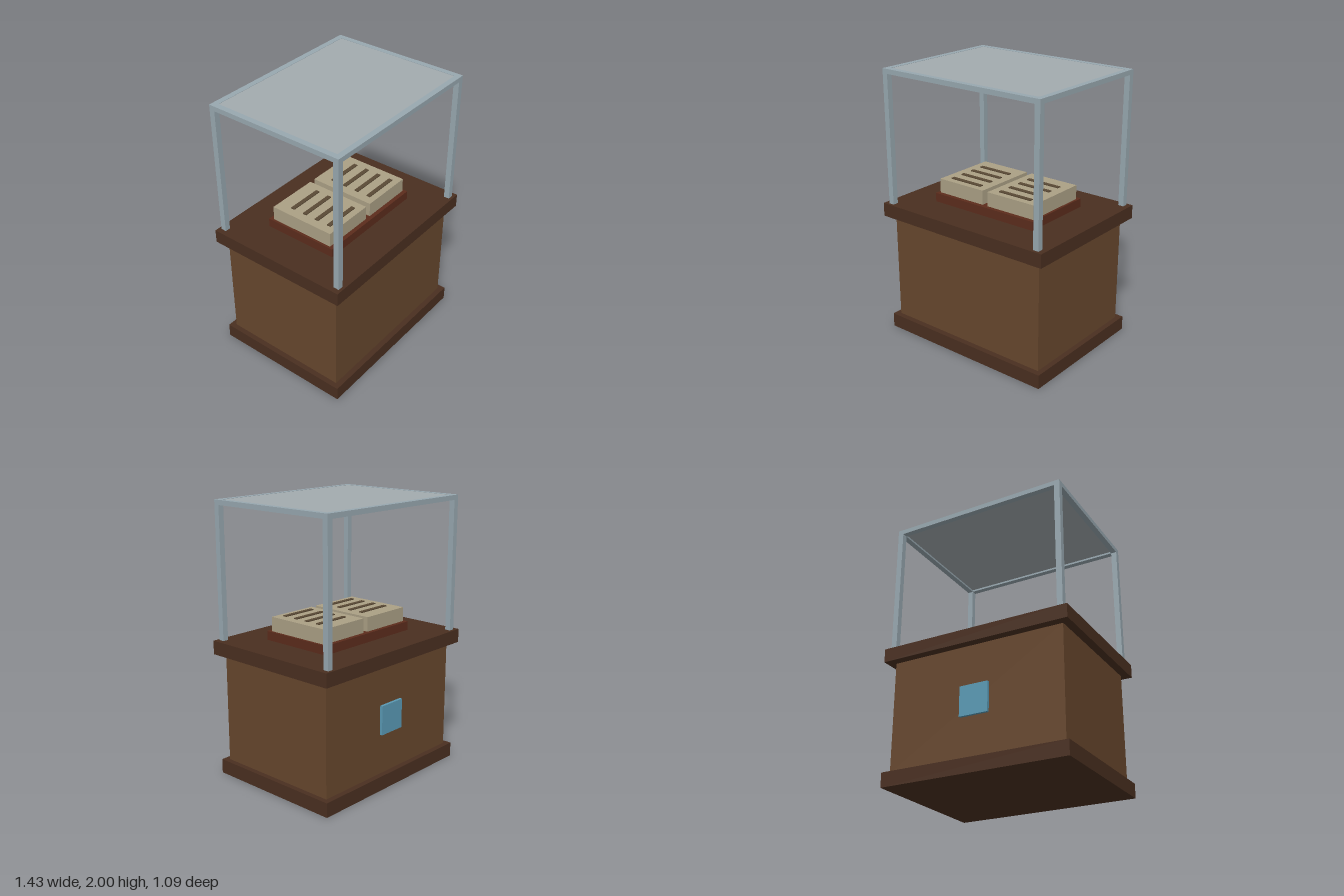
import * as THREE from 'three';

const mat = (color) => new THREE.MeshStandardMaterial({ color });

export function createModel() {
  const model = new THREE.Group();
  const wood = mat(0x67472d);
  const darkWood = mat(0x4a2f20);
  const cloth = mat(0x5c2c1c);
  const paper = mat(0xaba085);
  const ink = mat(0x5a4a35);
  const metal = mat(0x98a8b0);
  const glass = mat(0xa3abae);
  const blue = mat(0x5a9ab5);

  // Box spanning y0..y1, centred on (x, z)
  const box = (name, material, w, y0, y1, d, x = 0, z = 0, parent = model) => {
    const mesh = new THREE.Mesh(new THREE.BoxGeometry(w, y1 - y0, d), material);
    mesh.name = name;
    mesh.position.set(x, (y0 + y1) / 2, z);
    parent.add(mesh);
    return mesh;
  };

  // Pedestal
  box('plinth', darkWood, 1.384, 0, 0.105, 1.054);
  box('pedestalBody', wood, 1.306, 0.105, 0.91, 0.97);
  box('tableTop', darkWood, 1.426, 0.91, 1.01, 1.094);

  // Plaque on the back
  box('backPlaque', blue, 0.215, 0.4, 0.615, 0.02, 0, -0.495);

  // Open book: cover, two page blocks and raised lines of writing
  const book = new THREE.Group();
  book.name = 'book';
  model.add(book);
  box('cover', cloth, 0.88, 1.01, 1.075, 0.566, 0, 0, book);
  for (const side of [-1, 1]) {
    const x = side * 0.222;
    box('pageBlock', paper, 0.4, 1.075, 1.18, 0.504, x, 0, book);
    for (let i = 0; i < 4; i++) {
      box('pageLine', ink, 0.272, 1.178, 1.187, 0.03, x, 0.188 - i * 0.106, book);
    }
  }

  // Display case: corner posts, top rails and lid panel
  const frame = new THREE.Group();
  frame.name = 'caseFrame';
  model.add(frame);
  const t = 0.042;
  const px = 0.674 - t / 2;
  const pz = 0.526 - t / 2;
  for (const s of [-1, 1]) {
    for (const u of [-1, 1]) box('cornerPost', metal, t, 1.01, 2, t, s * px, u * pz, frame);
    box('longRail', metal, 2 * px - t, 1.965, 2, t, 0, s * pz, frame);
    box('shortRail', metal, t, 1.965, 2, 2 * pz - t, s * px, 0, frame);
  }
  box('lidPanel', glass, 2 * px - t, 1.98, 1.998, 2 * pz - t, 0, 0, frame);

  return model;
}
